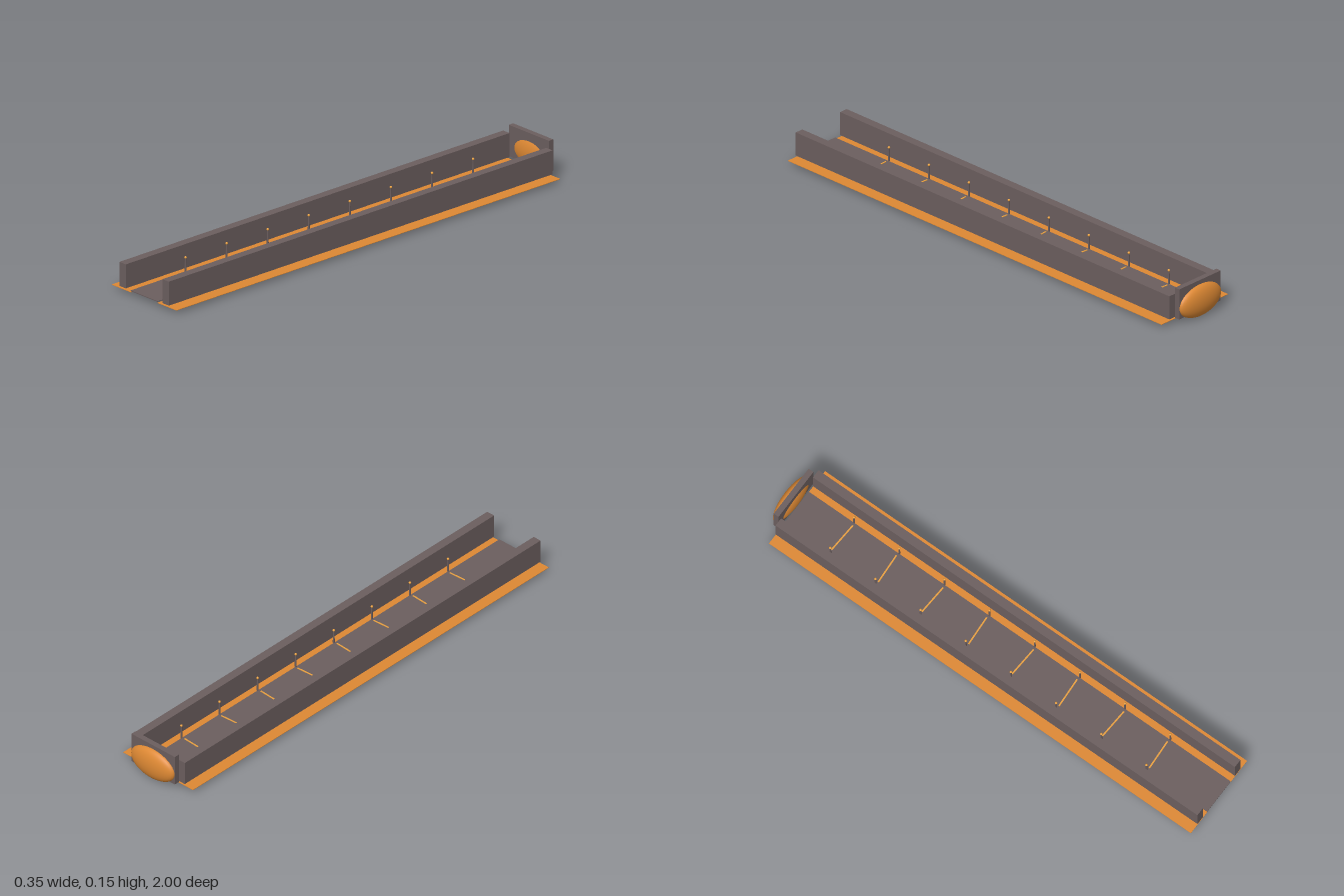
import * as THREE from 'three';

export function createModel() {
  const model = new THREE.Group();
  model.name = 'moltenCorridor';

  const mat = (name, color) => {
    const m = new THREE.MeshStandardMaterial({ color });
    m.name = name;
    return m;
  };
  const stone = mat('stone', 0x6b5e5e);
  const molten = mat('molten', 0xdd8833);
  const ember = mat('ember', 0xe8a040);

  const add = (name, geometry, material, x, y, z, parent = model) => {
    const mesh = new THREE.Mesh(geometry, material);
    mesh.name = name;
    mesh.position.set(x, y, z);
    parent.add(mesh);
    return mesh;
  };

  // Long corridor pieces share one length and centre
  const back = -0.943, front = 1;
  const length = front - back, midZ = (front + back) / 2;

  add('floor', new THREE.BoxGeometry(0.148, 0.003, length), stone, 0, 0.0205, midZ);

  for (const side of [-1, 1]) {
    const name = side > 0 ? 'left' : 'right';
    add(name + 'Wall', new THREE.BoxGeometry(0.035, 0.096, length), stone, side * 0.118, 0.07, midZ);
    add(name + 'MoltenStrip', new THREE.BoxGeometry(0.104, 0.002, length), molten, side * 0.125, 0.015, midZ);
  }

  // Posts with glowing tips, and a slanted glowing crack between each pair
  const postGeo = new THREE.CylinderGeometry(0.003, 0.004, 0.054, 8);
  const tipGeo = new THREE.SphereGeometry(0.005, 10, 8);
  const crackGeo = new THREE.BoxGeometry(0.125, 0.002, 0.006);
  for (let i = 0; i < 8; i++) {
    const row = new THREE.Group();
    row.name = 'postRow' + (i + 1);
    row.position.z = -0.735 + i * 0.208;
    for (const side of [-1, 1]) {
      add('post', postGeo, stone, side * 0.075, 0.049, 0, row);
      add('postTip', tipGeo, ember, side * 0.075, 0.078, 0, row);
    }
    const crack = add('floorCrack', crackGeo, ember, 0, 0.0227, 0, row);
    crack.rotation.y = i % 2 ? 0.06 : -0.06;
    model.add(row);
  }

  // End wall with a flattened molten orb set through it
  add('endWall', new THREE.BoxGeometry(0.22, 0.125, 0.022), stone, 0, 0.0845, -0.959);
  const orb = add('moltenOrb', new THREE.SphereGeometry(1, 32, 20), molten, 0, 0.065, -0.969);
  orb.scale.set(0.109, 0.065, 0.031);

  return model;
}
